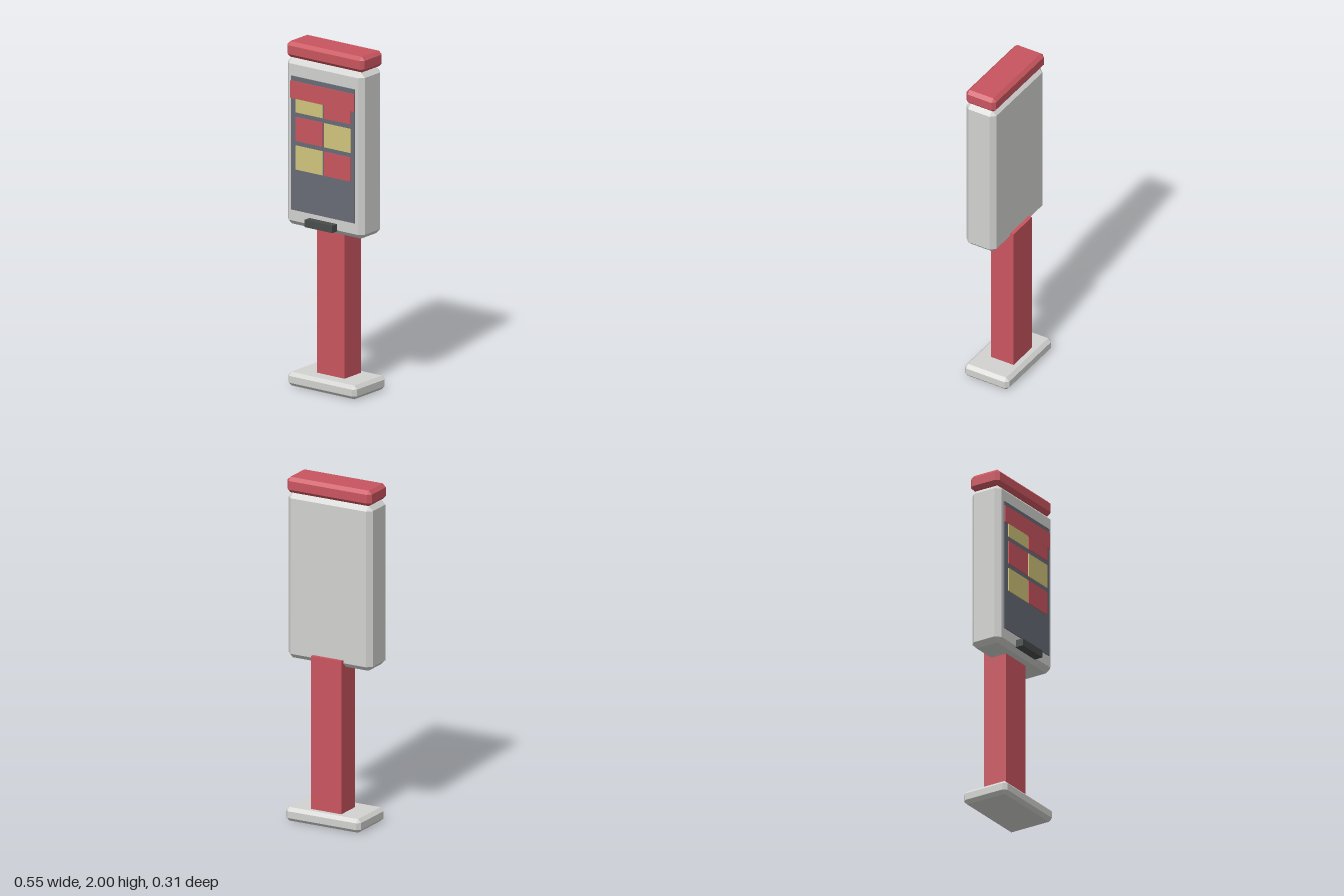
import * as THREE from 'three';
import { ConvexGeometry } from 'three/addons/geometries/ConvexGeometry.js';

const paint = (name, color) => {
  const m = new THREE.MeshStandardMaterial({ color });
  m.name = name;
  return m;
};

// Box with every edge cut by a flat chamfer c
function chamferBox(w, h, d, c) {
  const half = [w / 2, h / 2, d / 2];
  const points = [];
  for (const sx of [-1, 1]) for (const sy of [-1, 1]) for (const sz of [-1, 1]) {
    for (let axis = 0; axis < 3; axis++) {
      const p = half.map((v, i) => (i === axis ? v : v - c));
      points.push(new THREE.Vector3(sx * p[0], sy * p[1], sz * p[2]));
    }
  }
  return new ConvexGeometry(points);
}

export function createModel() {
  const model = new THREE.Group();
  model.name = 'kiosk';
  const red = paint('red', 0xc9555f);
  const grey = paint('light grey', 0xd2d2d0);
  const slate = paint('slate', 0x686c76);
  const yellow = paint('pale yellow', 0xd0c47c);
  const dark = paint('charcoal', 0x484d4c);

  // Adds a block spanning the given ranges, chamfered when c > 0
  const block = (name, material, [x0, x1], [y0, y1], [z0, z1], c = 0) => {
    const size = [x1 - x0, y1 - y0, z1 - z0];
    const geometry = c ? chamferBox(...size, c) : new THREE.BoxGeometry(...size);
    const mesh = new THREE.Mesh(geometry, material);
    mesh.name = name;
    mesh.position.set((x0 + x1) / 2, (y0 + y1) / 2, (z0 + z1) / 2);
    model.add(mesh);
  };

  // Stand
  block('base', grey, [-0.243, 0.243], [0, 0.08], [-0.157, 0.135], 0.02);
  block('column', red, [-0.098, 0.098], [0.075, 0.98], [-0.108, 0.042]);

  // Cabinet and cap
  block('cabinet', grey, [-0.273, 0.273], [0.935, 1.907], [-0.086, 0.11], 0.028);
  block('cap', red, [-0.274, 0.274], [1.909, 2], [-0.09, 0.106], 0.02);
  block('ledge', dark, [-0.098, 0.098], [0.957, 1], [0.1, 0.155]);

  // Screen with a banner over a two-by-three grid of tiles
  block('screen', slate, [-0.226, 0.226], [1.028, 1.81], [0.108, 0.116]);
  block('banner', red, [-0.226, 0.226], [1.682, 1.783], [0.115, 0.122]);
  for (let row = 0; row < 3; row++) {
    for (let col = 0; col < 2; col++) {
      const x = -0.188 + col * 0.201;
      const y = 1.603 - row * 0.167;
      block('tile', (row + col) % 2 ? red : yellow,
        [x, x + 0.19], [y, y + 0.14], [0.115, 0.121]);
    }
  }
  return model;
}
